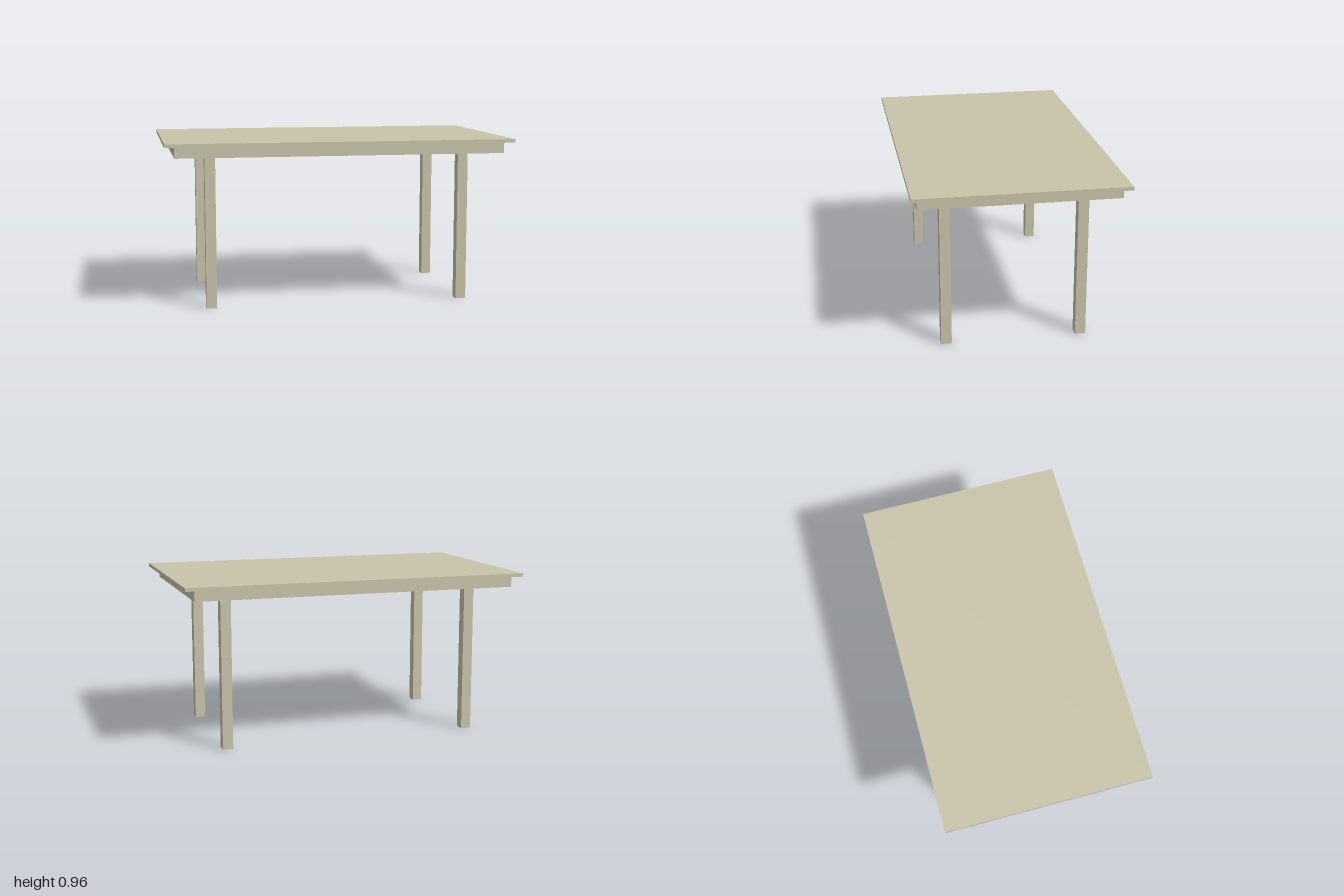
import * as THREE from 'three';

export function createModel() {
  const table = new THREE.Group();
  table.name = 'table';
  const material = new THREE.MeshStandardMaterial({ color: 0xc8c4aa });

  // Adds a box standing on height y
  function addBox(name, width, height, depth, x, y, z) {
    const mesh = new THREE.Mesh(new THREE.BoxGeometry(width, height, depth), material);
    mesh.name = name;
    mesh.position.set(x, y + height / 2, z);
    table.add(mesh);
  }

  const legHeight = 0.878;
  const apronHeight = 0.062;
  const topHeight = 0.02;

  // Thin overhanging slab on a solid apron
  addBox('tabletop', 2, topHeight, 1.18, 0, legHeight + apronHeight, 0);
  addBox('apron', 1.888, apronHeight, 1.109, -0.001, legHeight, 0.002);

  // Four square legs, set slightly forward
  for (const [side, x] of [['Left', 0.74], ['Right', -0.74]]) {
    addBox('front' + side + 'Leg', 0.06, legHeight, 0.06, x, 0, 0.39);
    addBox('back' + side + 'Leg', 0.06, legHeight, 0.06, x, 0, -0.38);
  }

  return table;
}
